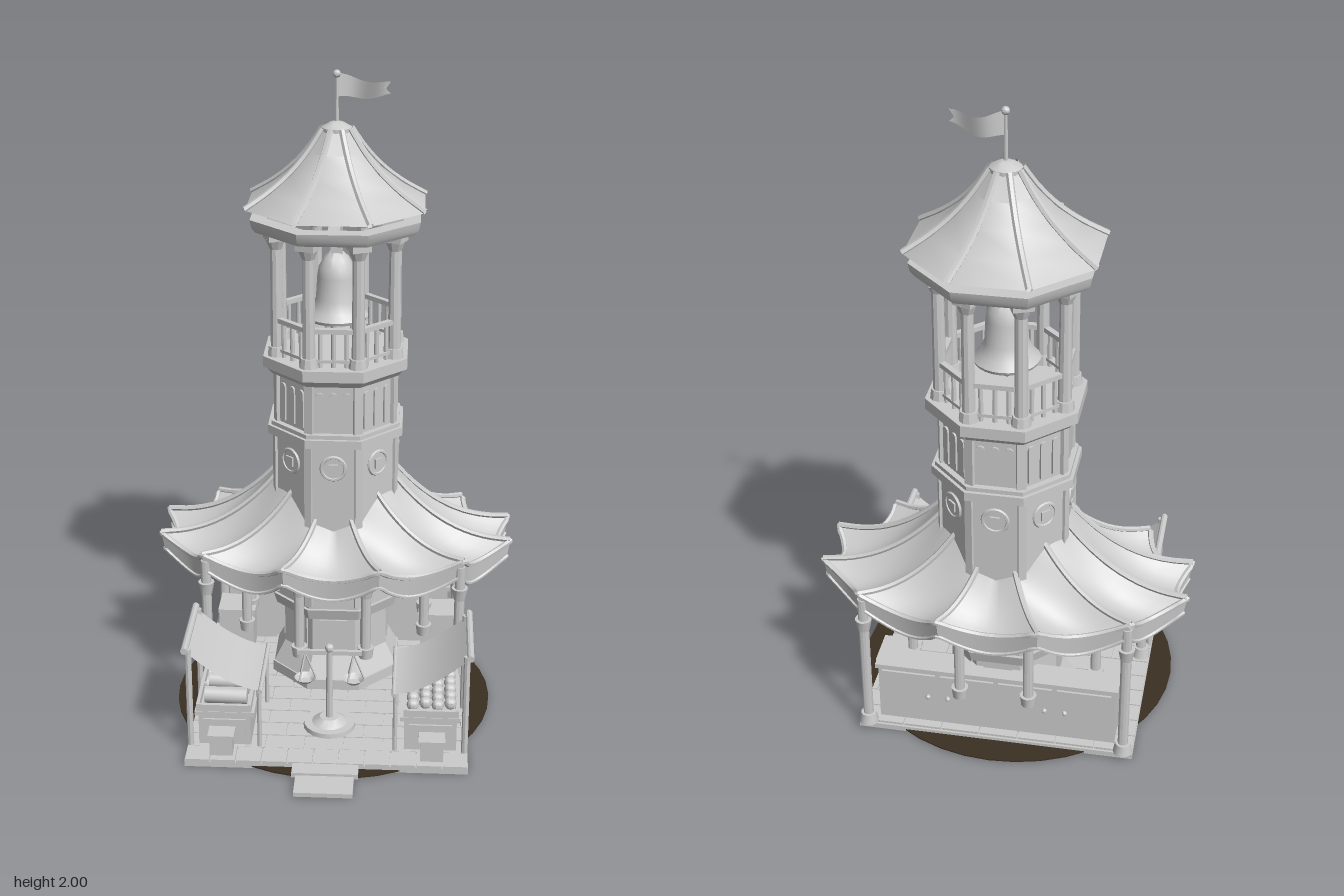
import * as THREE from 'three';
import { toCreasedNormals } from 'three/addons/utils/BufferGeometryUtils.js';

const V = (x, y, z) => new THREE.Vector3(x, y, z);

export function createModel() {
  const root = new THREE.Group();
  const stone = new THREE.MeshStandardMaterial({ color: 0xcccccc, side: THREE.DoubleSide });
  stone.name = 'paleStone';
  const soil = new THREE.MeshStandardMaterial({ color: 0x3a2f22 });
  soil.name = 'darkSoil';

  // ---- helpers ----
  const group = (name, parent = root, x = 0, y = 0, z = 0) => {
    const g = new THREE.Group();
    g.name = name;
    g.position.set(x, y, z);
    parent.add(g);
    return g;
  };
  const add = (p, name, geo, x = 0, y = 0, z = 0, mat = stone) => {
    const m = new THREE.Mesh(toCreasedNormals(geo, 0.6), mat);
    m.name = name;
    m.position.set(x, y, z);
    p.add(m);
    return m;
  };
  const box = (p, name, x0, x1, y0, y1, z0, z1) =>
    add(p, name, new THREE.BoxGeometry(x1 - x0, y1 - y0, z1 - z0), (x0 + x1) / 2, (y0 + y1) / 2, (z0 + z1) / 2);
  const cyl = (p, name, r0, r1, y0, y1, x = 0, z = 0, n = 12) =>
    add(p, name, new THREE.CylinderGeometry(r1, r0, y1 - y0, n), x, (y0 + y1) / 2, z);
  const C8 = Math.cos(Math.PI / 8);
  // octagonal block measured to its flat sides
  const oct = (p, name, a0, a1, y0, y1) =>
    add(p, name, new THREE.CylinderGeometry(a1 / C8, a0 / C8, y1 - y0, 8).rotateY(Math.PI / 8), 0, (y0 + y1) / 2, 0);
  const lathe = (p, name, pts, n = 16, x = 0, z = 0) =>
    add(p, name, new THREE.LatheGeometry(pts.map(a => new THREE.Vector2(...a)), n), x, 0, z);
  const tube = (p, name, pts, r, closed = false, seg = 10) =>
    add(p, name, new THREE.TubeGeometry(new THREE.CatmullRomCurve3(pts, closed), seg, r, 6, closed));

  // ---- ground, slab, paving, steps ----
  const disc = add(root, 'groundDisc', new THREE.CylinderGeometry(0.505, 0.505, 0.004, 40), 0, 0.006, -0.042, soil);
  disc.name = 'groundDisc';
  const base = group('pavedBase');
  box(base, 'slab', -0.43, 0.43, 0, 0.018, -0.46, 0.41);
  const rows = 11, rd = 0.79 / rows;
  for (let r = 0; r < rows; r++) {
    const z = -0.455 + r * rd, off = (r % 2) * 0.06;
    for (let x = -0.43 - off; x < 0.42; x += 0.12) {
      const a = Math.max(x, -0.43), b = Math.min(x + 0.12, 0.43);
      if (b - a > 0.02) box(base, 'pavingStone', a + 0.002, b - 0.002, 0.015, 0.025, z + 0.002, z + rd - 0.002);
    }
  }
  for (let i = 0; i < 11; i++) {
    const x = -0.43 + i * 0.86 / 11;
    box(base, 'kerbStone', x + 0.002, x + 0.076, 0.012, 0.027, 0.337, 0.412);
  }
  box(base, 'upperStep', -0.1, 0.1, 0.008, 0.024, 0.412, 0.465);
  box(base, 'lowerStep', -0.088, 0.088, 0.002, 0.016, 0.46, 0.555);

  // ---- tower body ----
  const tower = group('tower', root, 0, 0, -0.22);
  oct(tower, 'plinth', 0.205, 0.205, 0.02, 0.06);
  oct(tower, 'flaredFoot', 0.2, 0.165, 0.06, 0.13);
  oct(tower, 'lowerWall', 0.165, 0.165, 0.13, 0.28);
  oct(tower, 'sill', 0.19, 0.2, 0.275, 0.312);
  oct(tower, 'middleWall', 0.19, 0.19, 0.312, 0.88);
  oct(tower, 'lowerBand', 0.21, 0.21, 0.877, 0.905);
  oct(tower, 'bandLip', 0.2, 0.2, 0.905, 0.918);
  oct(tower, 'upperWall', 0.182, 0.182, 0.91, 1.09);
  oct(tower, 'cornice', 0.195, 0.215, 1.075, 1.1);
  oct(tower, 'balconyFloor', 0.222, 0.222, 1.1, 1.135);

  for (let i = 0; i < 8; i++) {
    // one flat side, facing outward along local +z
    const side = group('towerSide', tower);
    side.rotation.y = i * Math.PI / 4;
    add(side, 'roundWindowFrame', new THREE.TorusGeometry(0.037, 0.006, 6, 20), 0, 0.805, 0.192);
    const w = add(side, 'roundWindow', new THREE.CylinderGeometry(0.033, 0.033, 0.006, 20).rotateX(Math.PI / 2), 0, 0.805, 0.191);
    w.name = 'roundWindow';
    box(side, 'windowBlock', -0.015, 0.015, 0.79, 0.82, 0.19, 0.2);
    for (const x of [-0.042, 0, 0.042]) {
      box(side, 'slitPanel', x - 0.012, x + 0.012, 0.93, 1.04, 0.18, 0.188);
      add(side, 'slitArch', new THREE.CylinderGeometry(0.012, 0.012, 0.008, 12).rotateX(Math.PI / 2), x, 1.04, 0.184);
    }
    box(side, 'handrail', -0.075, 0.075, 1.243, 1.258, 0.172, 0.19);
    box(side, 'bottomRail', -0.075, 0.075, 1.15, 1.16, 0.174, 0.188);
    for (const x of [-0.04, 0, 0.04]) cyl(side, 'baluster', 0.007, 0.007, 1.135, 1.245, x, 0.181, 8);
    box(side, 'lowerPanel', -0.045, 0.045, 0.14, 0.26, 0.163, 0.17);

    // one corner
    const corner = group('towerCorner', tower);
    corner.rotation.y = (i + 0.5) * Math.PI / 4;
    box(corner, 'cornerStrip', -0.012, 0.012, 0.32, 0.88, 0.195, 0.209);
    box(corner, 'upperPilaster', -0.014, 0.014, 0.915, 1.08, 0.185, 0.203);
    cyl(corner, 'columnFoot', 0.03, 0.026, 1.135, 1.165, 0, 0.195, 10);
    cyl(corner, 'column', 0.02, 0.018, 1.16, 1.49, 0, 0.195, 10);
    cyl(corner, 'columnCapital', 0.02, 0.032, 1.475, 1.505, 0, 0.195, 8);
    box(corner, 'columnBlock', -0.03, 0.03, 1.503, 1.535, 0.165, 0.225);
  }

  // ---- bell ----
  const bell = group('bell', tower);
  lathe(bell, 'bellBody', [[0.094, 1.235], [0.098, 1.245], [0.08, 1.265], [0.064, 1.3], [0.06, 1.37],
    [0.055, 1.4], [0.038, 1.43], [0.022, 1.445], [0, 1.448]], 24);
  cyl(bell, 'clapperRod', 0.006, 0.006, 1.2, 1.43, 0, 0, 8);
  add(bell, 'clapper', new THREE.SphereGeometry(0.019, 12, 8), 0, 1.2, 0);
  box(bell, 'bellHanger', -0.018, 0.018, 1.44, 1.54, -0.018, 0.018);
  box(bell, 'crossBeam', -0.23, 0.23, 1.535, 1.56, -0.018, 0.018);
  box(bell, 'crossBeamDeep', -0.018, 0.018, 1.535, 1.56, -0.23, 0.23);

  // ---- upper roof ----
  const roof = group('upperRoof', tower);
  lathe(roof, 'roofRing', [[0.205, 1.53], [0.24, 1.53], [0.25, 1.545], [0.255, 1.57], [0.205, 1.57], [0.205, 1.53]]
    .map(([r, y]) => [r / C8, y]), 8).rotation.y = Math.PI / 8;
  const prof = [[0.29, 1.6], [0.215, 1.645], [0.145, 1.7], [0.09, 1.76], [0.045, 1.825]];
  lathe(roof, 'roofCover', prof, 8).rotation.y = Math.PI / 8;
  for (let i = 0; i < 8; i++) {
    const rib = tube(roof, 'roofRib', prof.map(([r, y]) => V(0, y + 0.003, r)), 0.01);
    rib.rotation.y = (i + 0.5) * Math.PI / 4;
  }
  lathe(roof, 'roofCap', [[0, 1.81], [0.046, 1.815], [0.046, 1.83], [0.02, 1.845], [0, 1.85]]);
  cyl(roof, 'flagPole', 0.006, 0.005, 1.84, 1.98, 0, 0, 8);
  add(roof, 'poleBall', new THREE.SphereGeometry(0.012, 12, 8), 0, 1.988, 0);
  // waving pennant, bent from a flat sheet
  const flag = new THREE.PlaneGeometry(1, 1, 12, 2);
  const fp = flag.attributes.position;
  for (let i = 0; i < fp.count; i++) {
    const t = fp.getX(i) + 0.5, h = fp.getY(i);
    const notch = t > 0.95 && h === 0 ? -0.02 : 0;
    fp.setXYZ(i, t * 0.16 + notch, 1.947 + h * (0.07 - 0.035 * t) + 0.008 * Math.sin(t * 6 + 1.5), -0.02 * Math.sin(t * 5) + 0.008 * t);
  }
  add(roof, 'flag', flag);

  // ---- market awning: twelve ribs on an oval, sagging between them ----
  const awning = group('awning', tower);
  const point = (a, t) => {
    const u = (a / (2 * Math.PI) * 12 - 0.5), f = u - Math.floor(u), s = 4 * f * (1 - f);
    const k = 1 - 0.1 * s * t, c = Math.cos(a), n = Math.sin(a);
    const top = 0.62 + 0.13 * Math.abs(c);
    return V(c * (0.17 + 0.41 * t) * k, 0.522 + (top - 0.522) * Math.pow(1 - t, 2.3) - 0.045 * s * t,
      n * (0.17 + 0.177 * t) * k);
  };
  const hem = a => { // lower edge of the hanging valance
    const p = point(a, 1);
    const f = a / (2 * Math.PI) * 12 - 0.5, s = Math.abs(Math.sin(f * Math.PI));
    p.y -= 0.055 + 0.015 * s;
    return V(p.x * 0.985, p.y, p.z * 0.985);
  };
  const around = 120, down = 8, pos = [], idx = [];
  for (let j = 0; j <= down + 1; j++)
    for (let i = 0; i <= around; i++) {
      const a = i / around * 2 * Math.PI;
      pos.push(...(j > down ? hem(a) : point(a, j / down)).toArray());
    }
  for (let j = 0; j <= down; j++)
    for (let i = 0; i < around; i++) {
      const a = j * (around + 1) + i, b = a + around + 1;
      idx.push(a, a + 1, b, a + 1, b + 1, b);
    }
  const cloth = new THREE.BufferGeometry();
  cloth.setAttribute('position', new THREE.Float32BufferAttribute(pos, 3));
  cloth.setIndex(idx);
  add(awning, 'awningCloth', cloth);
  const ring = fn => Array.from({ length: 96 }, (_, i) => fn((i + 4) / 96 * 2 * Math.PI));
  tube(awning, 'edgeTrim', ring(a => point(a, 1)), 0.009, true, 192);
  tube(awning, 'hemTrim', ring(hem), 0.006, true, 192);
  for (let i = 0; i < 12; i++) {
    const a = (i + 0.5) * Math.PI / 6;
    tube(awning, 'awningRib', [0, 0.2, 0.4, 0.6, 0.8, 1].map(t => point(a, t).add(V(0, 0.004, 0))), 0.009, false, 16);
  }

  // ---- awning posts ----
  for (const sx of [-1, 1]) for (const sz of [-1, 1]) {
    const post = group('awningPost', tower, sx * 0.4, 0, sz * 0.235);
    cyl(post, 'postFoot', 0.03, 0.024, 0.025, 0.06);
    cyl(post, 'postShaft', 0.016, 0.016, 0.05, 0.5);
    cyl(post, 'postCapital', 0.018, 0.026, 0.385, 0.425);
    for (const [x, z] of [[0.106, 0.237], [0.29, 0.075]]) {
      const drop = group('innerPost', tower, sx * x, 0, sz * z);
      cyl(drop, 'dropFoot', 0.022, 0.026, 0.17, 0.205);
      cyl(drop, 'dropShaft', 0.016, 0.016, 0.2, 0.53);
      cyl(drop, 'dropCapital', 0.018, 0.026, 0.385, 0.425);
    }
  }

  // ---- cabinets behind and beside the tower ----
  const cab = group('backCabinet');
  box(cab, 'cabinetBody', -0.37, 0.37, 0.025, 0.22, -0.425, -0.44 + 0.09);
  box(cab, 'cabinetTop', -0.378, 0.378, 0.22, 0.235, -0.435, -0.345);
  for (let i = 0; i < 4; i++) {
    const x = -0.365 + i * 0.1825;
    box(cab, 'cabinetDoor', x + 0.008, x + 0.175, 0.04, 0.21, -0.432, -0.424);
    add(cab, 'doorKnob', new THREE.SphereGeometry(0.008, 8, 6), x + (i % 2 ? 0.03 : 0.15), 0.13, -0.436);
  }
  for (const s of [-1, 1]) {
    const c = group('sideCounter', root, s * 0.335, 0, -0.295);
    box(c, 'counterBody', -0.055, 0.055, 0.025, 0.175, -0.055, 0.055);
    box(c, 'counterTop', -0.062, 0.062, 0.175, 0.188, -0.06, 0.06);
    box(c, 'counterPanel', s > 0 ? 0.054 : -0.061, s > 0 ? 0.061 : -0.054, 0.05, 0.155, -0.04, 0.04);
  }

  // ---- market stalls with sloping cloth ----
  for (const s of [-1, 1]) {
    const st = group('stall', root);
    const lo = (a, b) => [Math.min(s * a, s * b), Math.max(s * a, s * b)];
    box(st, 'stallBody', ...lo(0.235, 0.395), 0.025, 0.13, 0.075, 0.32);
    box(st, 'stallTop', ...lo(0.222, 0.405), 0.13, 0.145, 0.065, 0.332);
    for (const x of [0.232, 0.39]) box(st, 'trayEdge', ...lo(x, x + 0.01), 0.145, 0.17, 0.068, 0.33);
    for (const z of [0.068, 0.195, 0.32]) box(st, 'trayDivider', ...lo(0.232, 0.4), 0.145, 0.168, z, z + 0.01);
    box(st, 'stallPanel', ...lo(0.25, 0.38), 0.04, 0.115, 0.318, 0.326);
    box(st, 'crate', ...lo(0.285, 0.355), 0.025, 0.092, 0.338, 0.388);
    box(st, 'crateLid', ...lo(0.28, 0.36), 0.088, 0.097, 0.334, 0.392);
    // goods: fruit on one side, rolls of cloth on the other
    if (s > 0) {
      for (let i = 0; i < 4; i++) for (let j = 0; j < 6; j++)
        add(st, 'fruit', new THREE.SphereGeometry(0.019, 10, 8), 0.26 + i * 0.038, 0.172 + (i % 2) * 0.008, 0.095 + j * 0.041);
    } else {
      for (let j = 0; j < 4; j++)
        add(st, 'clothRoll', new THREE.CylinderGeometry(0.026, 0.026, 0.13, 14).rotateZ(Math.PI / 2), -0.312, 0.178, 0.105 + j * 0.06);
      add(st, 'topRoll', new THREE.CylinderGeometry(0.024, 0.024, 0.11, 14).rotateZ(Math.PI / 2), -0.31, 0.212, 0.255);
    }
    // canopy swept along a sagging curve
    const sheet = new THREE.PlaneGeometry(1, 0.275, 10, 1).rotateX(-Math.PI / 2);
    const p = sheet.attributes.position;
    for (let i = 0; i < p.count; i++) {
      const t = p.getX(i) + 0.5;
      p.setXYZ(i, s * (0.2 + 0.23 * t), 0.225 + 0.13 * Math.pow(t, 1.7), p.getZ(i) + 0.195);
    }
    add(st, 'canopyCloth', sheet);
    for (const [x, y, r] of [[0.43, 0.357, 0.011], [0.202, 0.225, 0.007]])
      add(st, 'canopyBar', new THREE.CylinderGeometry(r, r, 0.29, 10).rotateX(Math.PI / 2), s * x, y, 0.195);
    for (const z of [0.07, 0.325]) {
      cyl(st, 'outerPole', 0.01, 0.01, 0.02, 0.357, s * 0.42, z, 8);
      cyl(st, 'innerPole', 0.007, 0.007, 0.02, 0.225, s * 0.207, z, 8);
    }
  }

  // ---- weighing scales ----
  const sc = group('scales', root, 0, 0, 0.195);
  cyl(sc, 'scaleFoot', 0.082, 0.08, 0.02, 0.04, 0, 0, 20);
  cyl(sc, 'scaleStep', 0.055, 0.03, 0.04, 0.058, 0, 0, 20);
  cyl(sc, 'scalePole', 0.012, 0.009, 0.05, 0.3, 0, 0, 10);
  add(sc, 'poleKnob', new THREE.SphereGeometry(0.014, 10, 8), 0, 0.3, 0);
  box(sc, 'scaleArm', -0.1, 0.1, 0.278, 0.292, -0.006, 0.006);
  for (const s of [-1, 1]) {
    lathe(sc, 'scalePan', [[0, 0.178], [0.02, 0.181], [0.034, 0.195]], 16, s * 0.075);
    for (let i = 0; i < 3; i++) {
      const a = i * 2 * Math.PI / 3;
      tube(sc, 'panChain', [V(s * 0.075, 0.28, 0), V(s * 0.075 + 0.033 * Math.cos(a), 0.195, 0.033 * Math.sin(a))], 0.003, false, 1);
    }
  }
  return root;
}
